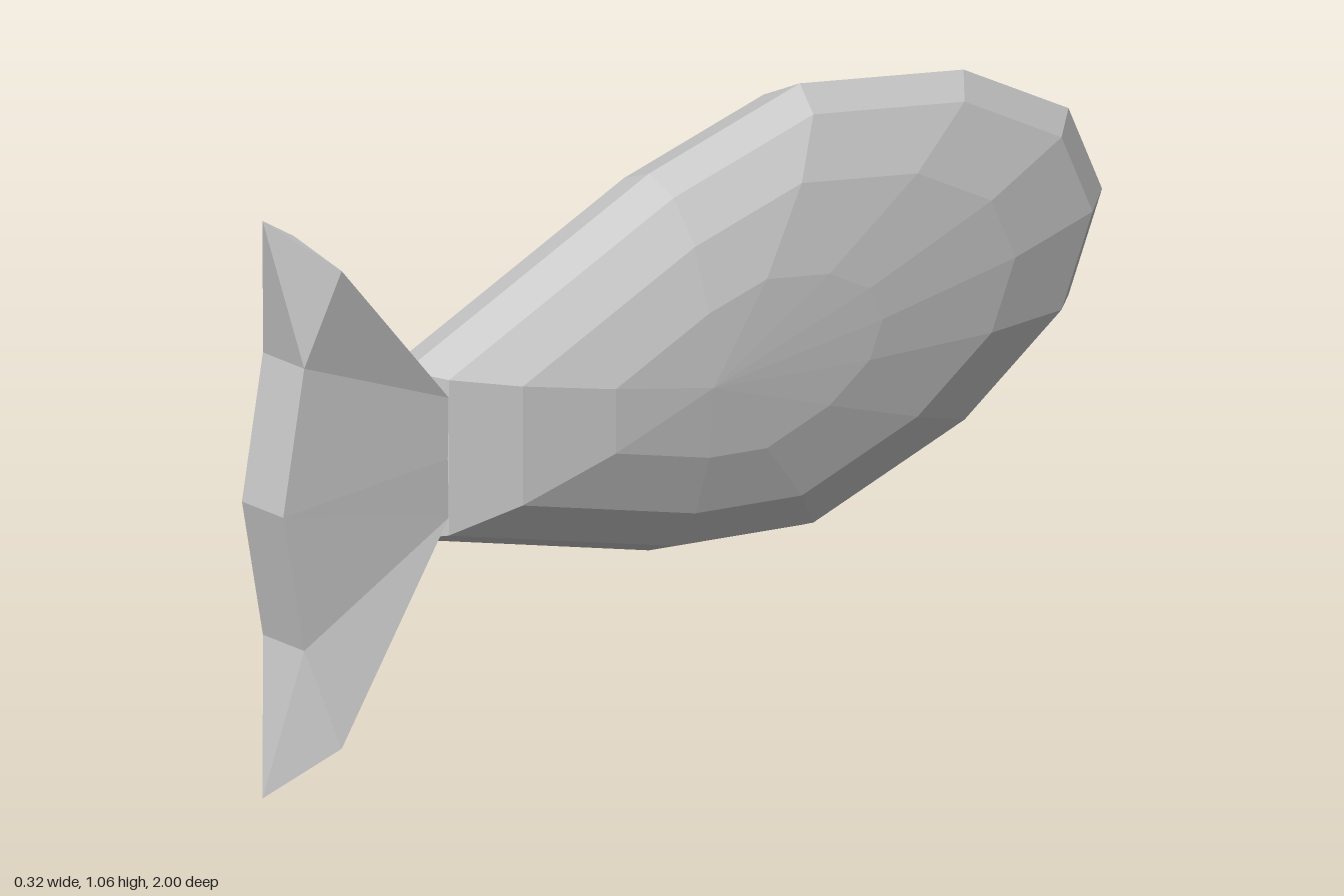
import * as THREE from 'three';

const MID = 0.533; // height of the long axis
const material = new THREE.MeshStandardMaterial({ color: 0xcccccc, flatShading: true });

function makeMesh(name, positions) {
  const geometry = new THREE.BufferGeometry();
  geometry.setAttribute('position', new THREE.Float32BufferAttribute(positions, 3));
  geometry.computeVertexNormals();
  const mesh = new THREE.Mesh(geometry, material);
  mesh.name = name;
  mesh.position.y = MID;
  return mesh;
}

// Body: a side outline shrunk towards both flanks along an elliptical bulge
function createBody() {
  const upper = [[-1, 0], [-0.92, 0.172], [-0.67, 0.317], [-0.28, 0.407], [0.08, 0.347], [0.66, 0.155]];
  const lower = upper.slice(1).reverse().map(([z, y]) => [z, -y]);
  const outline = [...upper, ...lower];
  const centreZ = 0.08, halfWidth = 0.158, layers = 8;

  const point = (layer, i) => {
    const angle = (layer / layers - 0.5) * Math.PI;
    const [z, y] = outline[i % outline.length];
    const s = Math.cos(angle);
    return [halfWidth * Math.sin(angle), y * s, centreZ + (z - centreZ) * s];
  };

  const positions = [];
  for (let k = 0; k < layers; k++) {
    for (let i = 0; i < outline.length; i++) {
      const a = point(k, i), b = point(k, i + 1), c = point(k + 1, i + 1), d = point(k + 1, i);
      if (k > 0) positions.push(...a, ...b, ...(k < layers - 1 ? c : d));
      if (k < layers - 1) positions.push(...a, ...c, ...d);
    }
  }
  return makeMesh('body', positions);
}

// Tail fin: one quarter, mirrored left to right and top to bottom
function createTail() {
  const tip = [0, 0.532, 1];
  const ridgeTop = [0, 0.497, 0.95], ridgeRoot = [0, 0.15, 0.65];
  const edgeTop = [0.025, 0.497, 0.95], edgeRoot = [0.025, 0.145, 0.645];
  const wideTop = [0.095, 0.44, 0.905], wideRoot = [0.06, 0.11, 0.615];
  const rearSide = [0.05, 0.26, 0.95], rearMid = [0, 0.26, 0.95];
  const endSide = [0.05, 0, 1], endMid = [0, 0, 1], rootSide = [0.062, 0, 0.62];

  const faces = [
    [rootSide, wideRoot, rearSide, endSide], // flank
    [wideRoot, wideTop, rearSide],
    [wideTop, tip, rearSide], // trailing edge
    [endMid, endSide, rearSide, rearMid],
    [rearMid, rearSide, tip],
    [wideTop, edgeTop, tip], // leading edge
    [wideRoot, edgeRoot, edgeTop, wideTop],
    [edgeRoot, ridgeRoot, ridgeTop, edgeTop],
    [ridgeTop, tip, edgeTop],
  ];

  const positions = [];
  for (const sx of [1, -1]) {
    for (const sy of [1, -1]) {
      for (const face of faces) {
        const corners = face.map(([x, y, z]) => [x * sx, y * sy, z]);
        if (sx * sy < 0) corners.reverse();
        for (let i = 1; i < corners.length - 1; i++) {
          positions.push(...corners[0], ...corners[i], ...corners[i + 1]);
        }
      }
    }
  }
  return makeMesh('tailFin', positions);
}

export function createModel() {
  const group = new THREE.Group();
  group.name = 'fish';
  group.add(createBody(), createTail());
  return group;
}
